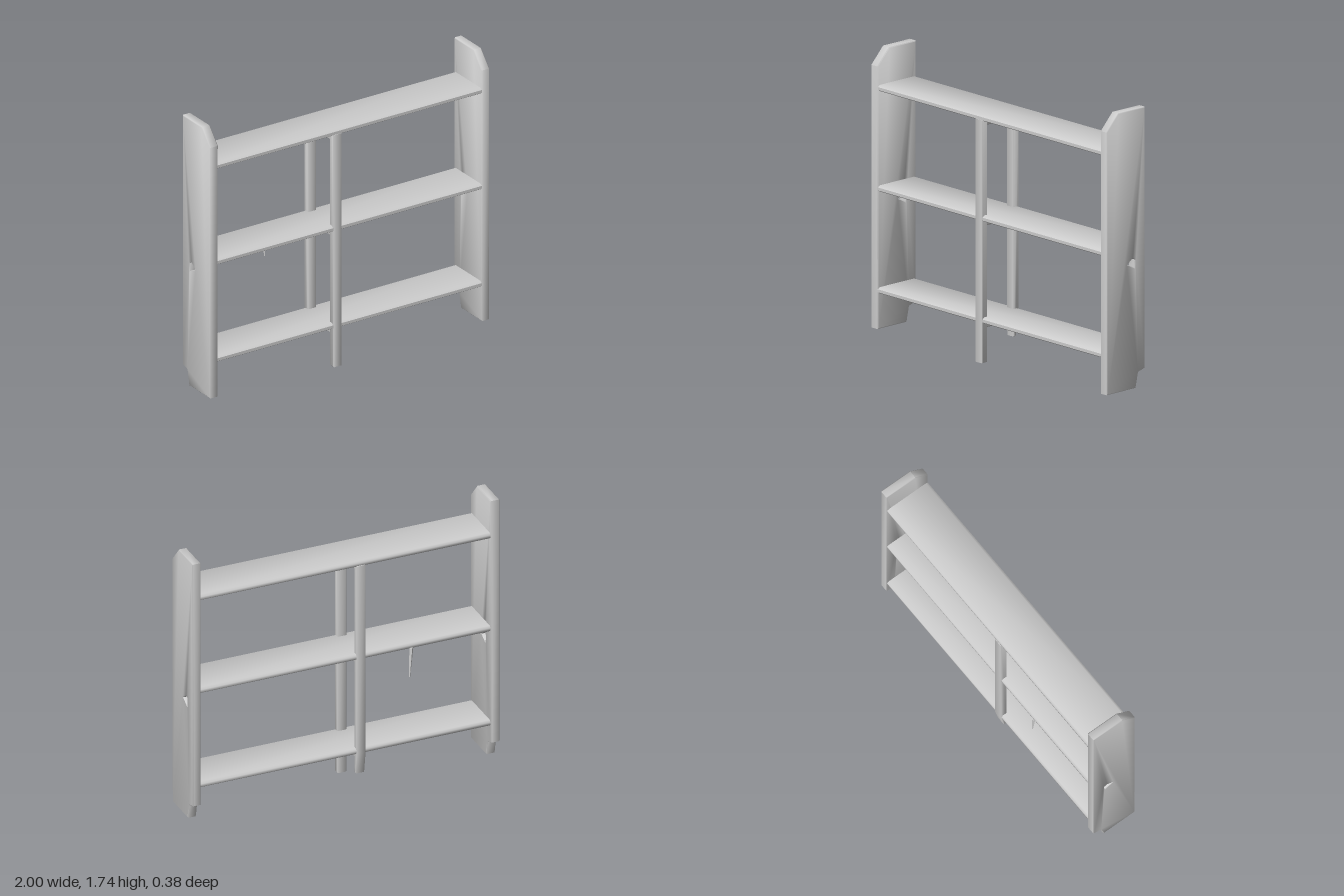
import * as THREE from 'three';
import { toCreasedNormals } from 'three/addons/utils/BufferGeometryUtils.js';

const material = new THREE.MeshStandardMaterial({ color: 0xcccccc });

// The whole shelf is slightly askew: depth and height drift along its length.
function skew(geometry) {
  const p = geometry.attributes.position;
  for (let i = 0; i < p.count; i++) {
    const x = p.getX(i);
    p.setXYZ(i, x, p.getY(i) + 0.005 * x, p.getZ(i) - 0.039 * x);
  }
  return toCreasedNormals(geometry, 0.9);
}

// Extrudes a (z, y) profile from x0 to x1 with a small softened edge.
function slab(name, points, x0, x1, bevel = 0.005, hole = null) {
  const shape = new THREE.Shape(points.map(([z, y]) => new THREE.Vector2(z, y)));
  if (hole) shape.holes.push(new THREE.Path(hole.map(([z, y]) => new THREE.Vector2(z, y))));
  const geometry = new THREE.ExtrudeGeometry(shape, {
    depth: x1 - x0 - 2 * bevel,
    bevelEnabled: bevel > 0,
    bevelThickness: bevel,
    bevelSize: bevel,
    bevelOffset: -bevel,
    bevelSegments: 1,
  });
  geometry.rotateY(-Math.PI / 2);
  geometry.translate(x1 - bevel, 0, 0);
  const mesh = new THREE.Mesh(skew(geometry), material);
  mesh.name = name;
  return mesh;
}

const rect = (z0, z1, y0, y1) => [[z0, y0], [z1, y0], [z1, y1], [z0, y1]];

export function createModel() {
  const group = new THREE.Group();
  group.name = 'wallShelf';

  // Side panels: chamfered front top corner, notched rear foot, small hole
  const panel = [
    [0.15, 0.025], [-0.08, 0.025], [-0.1, 0.12], [-0.152, 0.135],
    [-0.152, 1.74], [0.06, 1.74], [0.152, 1.64],
  ];
  const hole = [[-0.015, 0.795], [-0.055, 0.825], [-0.075, 0.815], [-0.07, 0.765]];
  group.add(slab('rightPanel', panel, -1, -0.942, 0.005, hole));
  group.add(slab('leftPanel', panel, 0.945, 1, 0.005, hole));

  // Shelf boards with rounded-off front and rear edges, and a brace under each
  const levels = [['bottom', 0.262], ['middle', 0.888], ['top', 1.505]];
  for (const [level, y] of levels) {
    const t = 0.019;
    const board = [
      [0.135, y - t], [0.149, y - 0.01], [0.149, y + 0.008], [0.135, y + t],
      [-0.135, y + t], [-0.148, y + 0.008], [-0.148, y - 0.008], [-0.135, y - t],
    ];
    group.add(slab(`${level}Shelf`, board, -0.95, 0.95, 0));
    group.add(slab(`${level}Brace`, rect(-0.12, 0.12, y - t - 0.035, y - t + 0.005), -0.115, -0.075));
  }

  // Centre posts: the front one reaches the ground, the rear one has a tapered foot
  group.add(slab('frontPost', rect(0.108, 0.153, 0.001, 1.495), -0.117, -0.056));
  group.add(slab('rearPost', [
    [-0.11, 0.11], [-0.13, 0.11], [-0.153, 0.25], [-0.153, 1.495], [-0.108, 1.495], [-0.108, 0.2],
  ], -0.129, -0.07));

  // Thin splinter hanging under the middle shelf at the back
  const splinter = new THREE.CylinderGeometry(0.013, 0.004, 0.19, 4);
  const p = splinter.attributes.position;
  for (let i = 0; i < p.count; i++) p.setX(i, p.getX(i) - 0.06 * p.getY(i));
  splinter.translate(-0.422, 0.78, -0.145);
  const peg = new THREE.Mesh(skew(splinter), material);
  peg.name = 'hangingPeg';
  group.add(peg);

  return group;
}
